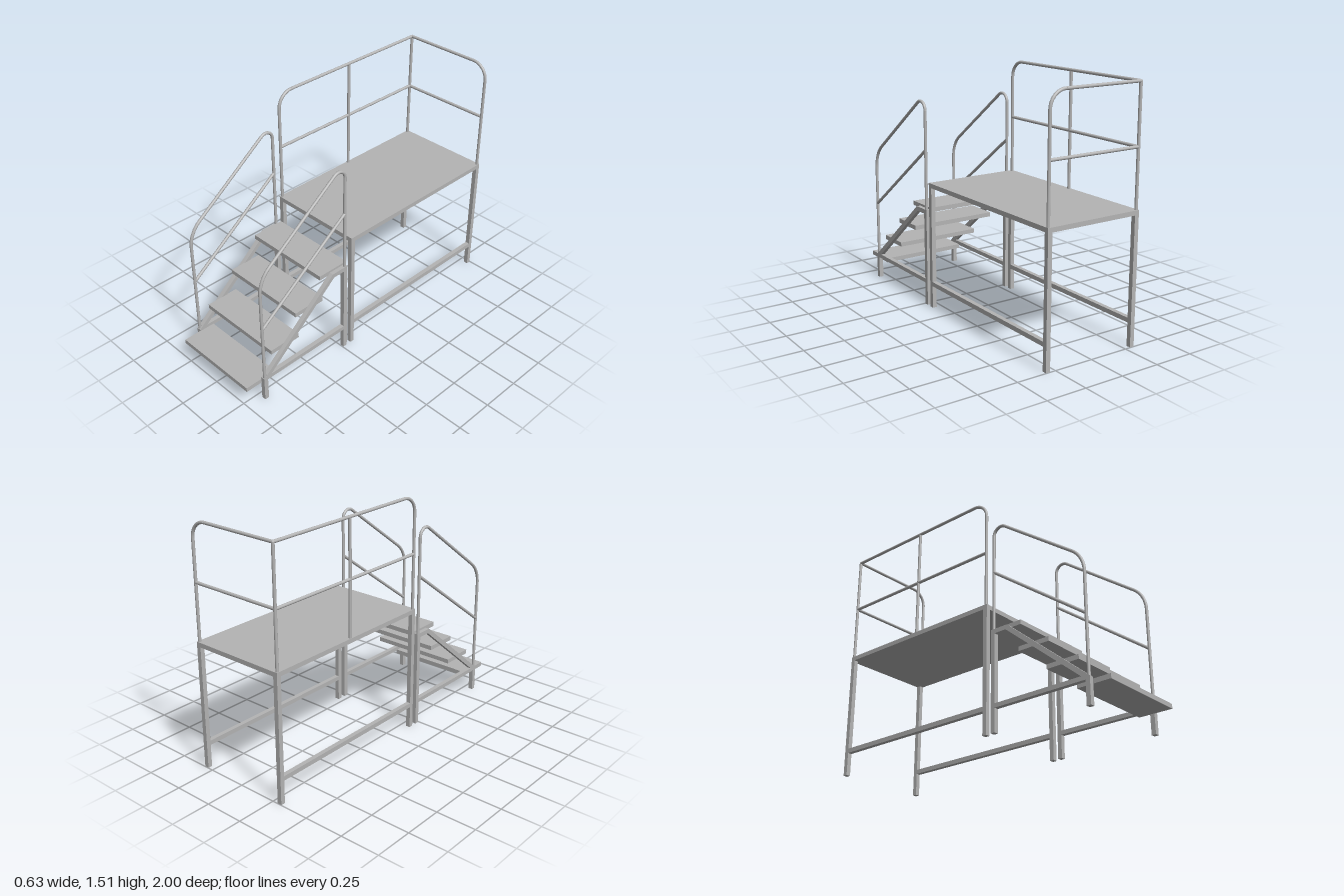
import * as THREE from 'three';

const V = (x, y, z) => new THREE.Vector3(x, y, z);
const T = 0.028;      // square tube width
const R = 0.0095;     // round rail radius
const SIDE = 0.299;   // x of the frame centrelines
const RAIL = 0.303;   // x of the rail centrelines

export function createModel() {
  const model = new THREE.Group();
  const steel = new THREE.MeshStandardMaterial({ color: 0xb4b4b4 });
  steel.name = 'grey steel';

  const add = (parent, name, geometry) => {
    const mesh = new THREE.Mesh(geometry, steel);
    mesh.name = name;
    parent.add(mesh);
    return mesh;
  };
  const group = (name) => {
    const g = new THREE.Group();
    g.name = name;
    model.add(g);
    return g;
  };
  // Box given by its limits on each axis
  const box = (parent, name, x0, x1, y0, y1, z0, z1) => {
    const g = new THREE.BoxGeometry(x1 - x0, y1 - y0, z1 - z0);
    add(parent, name, g.translate((x0 + x1) / 2, (y0 + y1) / 2, (z0 + z1) / 2));
  };
  // Straight round bar between two points
  const bar = (parent, name, a, b) => {
    const mesh = add(parent, name, new THREE.CylinderGeometry(R, R, a.distanceTo(b), 16));
    mesh.position.copy(a).add(b).multiplyScalar(0.5);
    mesh.quaternion.setFromUnitVectors(V(0, 1, 0), b.clone().sub(a).normalize());
  };
  // Round rail through corner points; each inner corner is bent to its radius
  const bentRail = (parent, name, points, radii) => {
    let from = points[0];
    for (let i = 1; i < points.length - 1; i++) {
      const p = points[i];
      const d0 = p.clone().sub(points[i - 1]).normalize();
      const d1 = points[i + 1].clone().sub(p).normalize();
      const turn = d0.angleTo(d1), r = radii[i - 1];
      const t = r * Math.tan(turn / 2);
      const start = p.clone().addScaledVector(d0, -t);
      const end = p.clone().addScaledVector(d1, t);
      const normal = d1.clone().addScaledVector(d0, -d0.dot(d1)).normalize();
      const arc = [];
      for (let k = 0; k <= 12; k++) {
        const a = (turn * k) / 12;
        arc.push(start.clone().addScaledVector(d0, r * Math.sin(a))
          .addScaledVector(normal, r * (1 - Math.cos(a))));
      }
      bar(parent, name, from, start);
      add(parent, name + 'Bend', new THREE.TubeGeometry(new THREE.CatmullRomCurve3(arc), 20, R, 16));
      from = end;
    }
    bar(parent, name, from, points[points.length - 1]);
  };

  // Platform deck, legs and low side beams
  const platform = group('platform');
  const front = 0.184, back = -0.998, deckTop = 0.8;
  box(platform, 'deck', -0.313, 0.313, deckTop - T, deckTop, back, front);
  for (const s of [-1, 1]) {
    const x = s * SIDE, x0 = x - T / 2, x1 = x + T / 2;
    box(platform, 'platformLeg', x0, x1, 0, deckTop - T, front - T, front);
    box(platform, 'platformLeg', x0, x1, 0, deckTop - T, back, back + T);
    box(platform, 'lowerBeam', x0, x1, 0.142, 0.17, back + T, front - T);
  }

  // Platform guard rail on the right side and the back
  const guard = group('guardRail');
  const top = 1.505, mid = 1.15, zF = 0.17, zB = -0.985;
  bentRail(guard, 'sideRail', [V(-RAIL, deckTop, zF), V(-RAIL, top, zF), V(-RAIL, top, zB)], [0.1]);
  bentRail(guard, 'backRail', [V(RAIL, deckTop, zB), V(RAIL, top, zB), V(-RAIL, top, zB)], [0.1]);
  bar(guard, 'cornerPost', V(-RAIL, deckTop, zB), V(-RAIL, top, zB));
  add(guard, 'cornerJoint', new THREE.SphereGeometry(R, 16, 12)).position.set(-RAIL, top, zB);
  bar(guard, 'middlePost', V(-RAIL, deckTop, -0.406), V(-RAIL, top, -0.406));
  bar(guard, 'sideMidRail', V(-RAIL, mid, zF), V(-RAIL, mid, zB));
  bar(guard, 'backMidRail', V(-RAIL, mid, zB), V(RAIL, mid, zB));

  // Stair treads
  const stairs = group('stairs');
  for (let i = 0; i < 4; i++) {
    const y = 0.12 + i * 0.162, z = 1 - i * 0.1945;
    box(stairs, 'tread', -0.288, 0.288, y, y + T, z - 0.213, z);
  }

  // Stair side frames: sloped stringer with a level top, legs, low beam
  const profile = new THREE.Shape([
    [0.217, 0.592], [0.325, 0.592], [0.86, 0.145], [0.888, 0.145],
    [0.888, 0.158], [0.335, 0.62], [0.217, 0.62],
  ].map(([z, y]) => new THREE.Vector2(z, y)));
  const stringer = new THREE.ExtrudeGeometry(profile, { depth: T, bevelEnabled: false });
  stringer.translate(0, 0, -T / 2).rotateY(-Math.PI / 2);

  for (const s of [-1, 1]) {
    const x = s * SIDE, x0 = x - T / 2, x1 = x + T / 2, r = s * RAIL;
    add(stairs, 'stringer', stringer).position.x = x;
    box(stairs, 'frontLeg', x0, x1, 0, 0.152, 0.86, 0.888);
    box(stairs, 'backLeg', x0, x1, 0, 0.592, 0.217, 0.245);
    box(stairs, 'stairBeam', x0, x1, 0.142, 0.168, 0.245, 0.868);

    // Stair handrail with a parallel middle rail
    const hand = group(s > 0 ? 'leftHandrail' : 'rightHandrail');
    bentRail(hand, 'handrail',
      [V(r, 0.15, 0.876), V(r, 0.866, 0.876), V(r, 1.34, 0.231), V(r, 0.62, 0.231)], [0.19, 0.052]);
    bar(hand, 'handMidRail', V(r, 0.52, 0.876), V(r, 0.994, 0.231));
  }
  return model;
}
